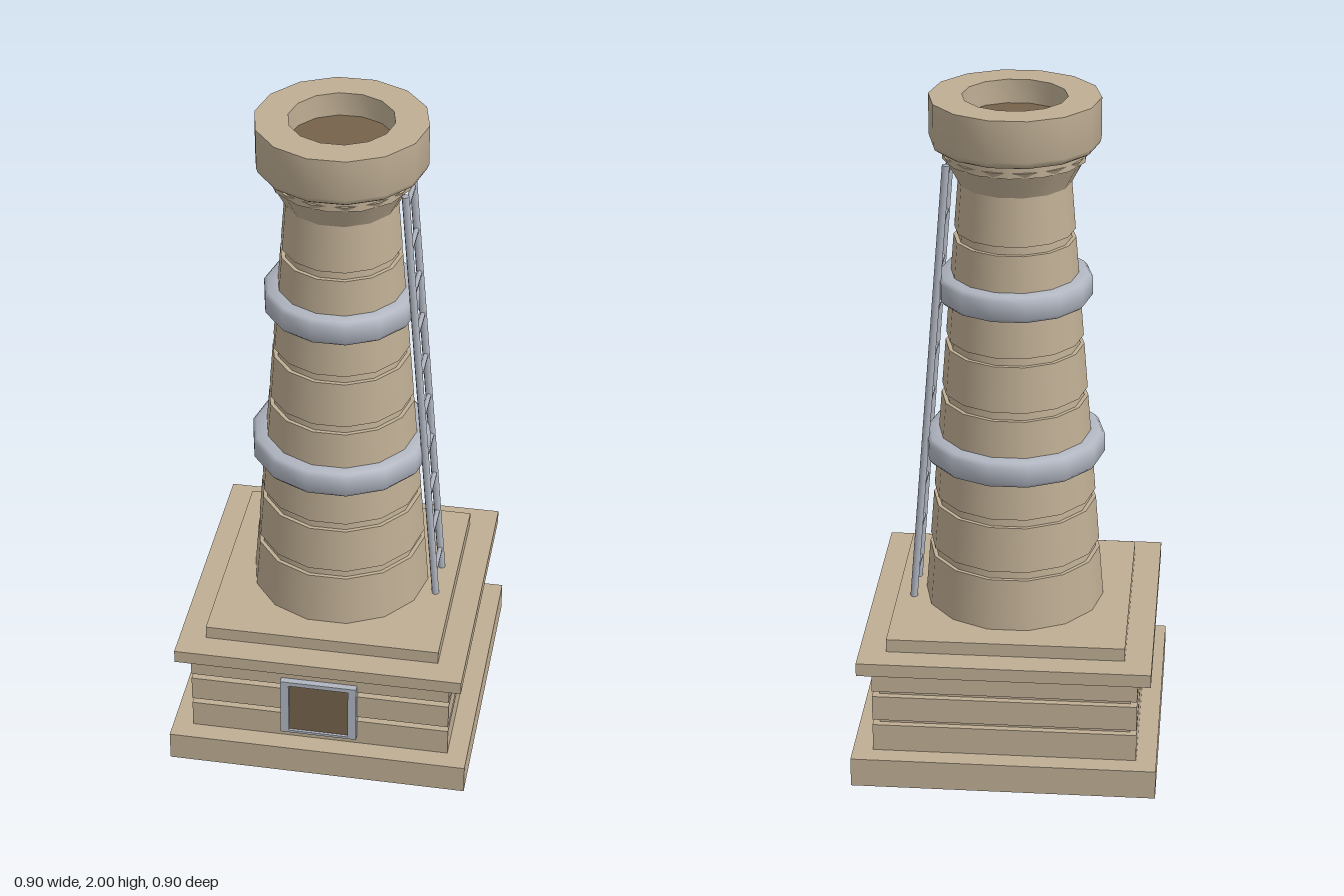
import * as THREE from 'three';
import { toCreasedNormals } from 'three/addons/utils/BufferGeometryUtils.js';

const SIDES = 14;

export function createModel() {
  const model = new THREE.Group();
  model.name = 'chimneyTower';

  const material = (name, color) => {
    const m = new THREE.MeshStandardMaterial({ color });
    m.name = name;
    return m;
  };
  const stone = material('tanStone', 0xbfae94);
  const dark = material('darkOpening', 0x75624c);
  const metal = material('greyMetal', 0xb0b5c0);

  const add = (name, geometry, mat, parent = model) => {
    const mesh = new THREE.Mesh(geometry, mat);
    mesh.name = name;
    parent.add(mesh);
    return mesh;
  };

  // Square slab between two heights
  const slab = (name, half, y0, y1) =>
    add(name, new THREE.BoxGeometry(half * 2, y1 - y0, half * 2), stone).position.y = (y0 + y1) / 2;

  // Tapered round section with a corner on the x axis
  const drum = (name, r0, r1, y0, y1, turn = Math.PI / 2) => {
    const g = new THREE.CylinderGeometry(r1, r0, y1 - y0, SIDES);
    g.rotateY(turn).translate(0, (y0 + y1) / 2, 0);
    add(name, g, stone);
  };

  // Turned profile with sharp edges between its faces
  const turned = (name, profile, mat) => {
    const points = profile.map(([r, y]) => new THREE.Vector2(r, y));
    const g = new THREE.LatheGeometry(points, SIDES).rotateY(Math.PI / 2);
    add(name, toCreasedNormals(g, 0.85), mat);
  };

  // Square base
  slab('plinth', 0.45, 0, 0.09);
  slab('baseCore', 0.37, 0.09, 0.36);
  slab('baseCourseLower', 0.39, 0.09, 0.175);
  slab('baseCourseMiddle', 0.39, 0.192, 0.27);
  slab('baseCourseUpper', 0.39, 0.287, 0.36);
  slab('cornice', 0.43, 0.36, 0.4);
  slab('step', 0.35, 0.4, 0.44);

  // Hatch in the front of the base
  const frame = new THREE.Shape();
  frame.moveTo(-0.115, 0.118).lineTo(0.115, 0.118).lineTo(0.115, 0.312).lineTo(-0.115, 0.312).closePath();
  const hole = new THREE.Path();
  hole.moveTo(-0.09, 0.126).lineTo(-0.09, 0.298).lineTo(0.09, 0.298).lineTo(0.09, 0.126).closePath();
  frame.holes.push(hole);
  add('hatchFrame', new THREE.ExtrudeGeometry(frame, { depth: 0.04, bevelEnabled: false }), metal)
    .position.z = 0.37;
  add('hatchPanel', new THREE.BoxGeometry(0.18, 0.172, 0.008), dark).position.set(0, 0.212, 0.398);

  // Tapering shaft: a core with raised courses
  const radius = (y) => 0.268 - 0.08 * (y - 0.44);
  drum('shaftCore', radius(0.44) - 0.012, radius(1.75) - 0.012, 0.44, 1.75);
  const pitch = 0.164;
  for (let i = 0; i < 8; i++) {
    const y0 = 0.44 + i * pitch;
    const y1 = y0 + (i === 7 ? 0.162 : 0.138) + (i === 0 ? 0.02 : 0);
    const start = i === 0 ? y0 : y0 + 0.02;
    const end = i === 7 ? 1.755 : Math.max(y1, y0 + 0.158);
    drum('shaftCourse' + (i + 1), radius(start), radius(end), start, end);
  }

  // Metal hoops
  const hoop = (name, y, r) => turned(name, [
    [r - 0.05, y - 0.04], [r - 0.01, y - 0.038], [r, y - 0.026],
    [r, y + 0.026], [r - 0.01, y + 0.038], [r - 0.05, y + 0.04],
  ], metal);
  hoop('lowerHoop', 0.94, 0.267);
  hoop('upperHoop', 1.435, 0.226);

  // Flared head with an open mouth
  drum('corbel', 0.163, 0.21, 1.75, 1.838);
  drum('collar', 0.207, 0.207, 1.822, 1.87, 0);
  turned('rim', [
    [0.15, 1.86], [0.232, 1.86], [0.24, 1.866], [0.245, 1.88],
    [0.245, 2], [0.15, 2], [0.15, 1.92],
  ], stone);
  const mouth = new THREE.CircleGeometry(0.152, SIDES).rotateX(-Math.PI / 2);
  add('mouthFloor', mouth, dark).position.y = 1.93;

  // Leaning ladder on the left side
  const ladder = new THREE.Group();
  ladder.name = 'ladder';
  model.add(ladder);
  const foot = new THREE.Vector2(0.3, 0.44);
  const head = new THREE.Vector2(0.19, 1.81);
  const lean = head.clone().sub(foot);
  for (const side of [-1, 1]) {
    const rail = add('ladderRail', new THREE.CylinderGeometry(0.011, 0.011, lean.length(), 8), metal, ladder);
    rail.position.set((foot.x + head.x) / 2, (foot.y + head.y) / 2, side * 0.066);
    rail.rotation.z = Math.atan2(-lean.x, lean.y);
  }
  const rungGeometry = new THREE.CylinderGeometry(0.008, 0.008, 0.145, 6).rotateX(Math.PI / 2);
  for (let i = 0; i < 10; i++) {
    const y = 0.512 + i * 0.14;
    const t = (y - foot.y) / lean.y;
    add('ladderRung', rungGeometry, metal, ladder).position.set(foot.x + lean.x * t, y, 0);
  }

  return model;
}
